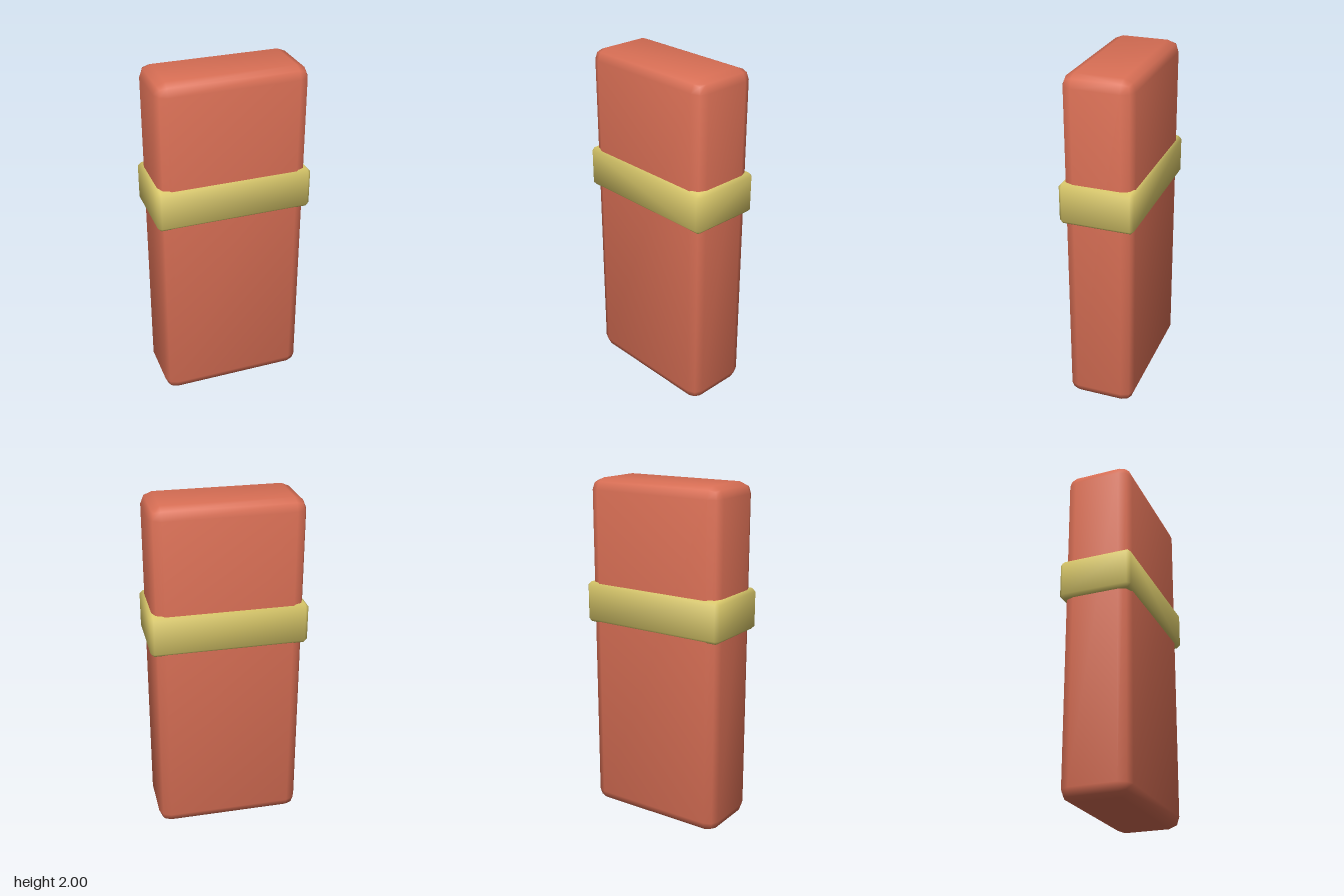
import * as THREE from 'three';
import { RoundedBoxGeometry } from 'three/addons/geometries/RoundedBoxGeometry.js';
import { ConvexGeometry } from 'three/addons/geometries/ConvexGeometry.js';

// Box with two-step rounded edges; normals lean outward for soft shading across the faces
function softBox(w, h, d, r, lean) {
  const geo = new RoundedBoxGeometry(w, h, d, 1, r);
  const p = geo.attributes.position, n = geo.attributes.normal;
  const v = new THREE.Vector3();
  for (let i = 0; i < p.count; i++) {
    v.fromBufferAttribute(n, i);
    for (const [k, c] of ['x', 'y', 'z'].entries()) {
      if (Math.abs(v[c]) < 0.01) v[c] = lean * Math.sign(p.getComponent(i, k));
    }
    v.normalize();
    n.setXYZ(i, v.x, v.y, v.z);
  }
  return geo;
}

// Box with a single chamfer on every edge and smooth normals
function chamferBox(w, h, d, b, lean) {
  const half = [w / 2, h / 2, d / 2];
  const points = [];
  for (const sx of [-1, 1]) for (const sy of [-1, 1]) for (const sz of [-1, 1]) {
    const s = [sx, sy, sz];
    for (let axis = 0; axis < 3; axis++) {
      points.push(new THREE.Vector3(...half.map((e, k) => s[k] * (k === axis ? e : e - b))));
    }
  }
  const geo = new ConvexGeometry(points);
  const p = geo.attributes.position, n = geo.attributes.normal;
  for (let i = 0; i < p.count; i++) {
    const dir = half.map((e, k) => {
      const c = p.getComponent(i, k);
      return Math.sign(c) * (Math.abs(c) > e - b / 2 ? 1 : lean);
    });
    const v = new THREE.Vector3(...dir).normalize();
    n.setXYZ(i, v.x, v.y, v.z);
  }
  return geo;
}

export function createModel() {
  const group = new THREE.Group();
  const red = new THREE.MeshStandardMaterial({ color: 0xd96f55 });
  red.name = 'coral red';
  const yellow = new THREE.MeshStandardMaterial({ color: 0xd9c86a });
  yellow.name = 'pale yellow';

  // Tall rounded slab
  const body = new THREE.Mesh(softBox(0.86, 2, 0.4, 0.065, 0.17), red);
  body.name = 'body';
  body.position.y = 1;

  // Band wrapped around the upper half
  const band = new THREE.Mesh(chamferBox(0.9, 0.24, 0.43, 0.02, 0.39), yellow);
  band.name = 'band';
  band.position.y = 1.28;

  group.add(body, band);
  return group;
}
